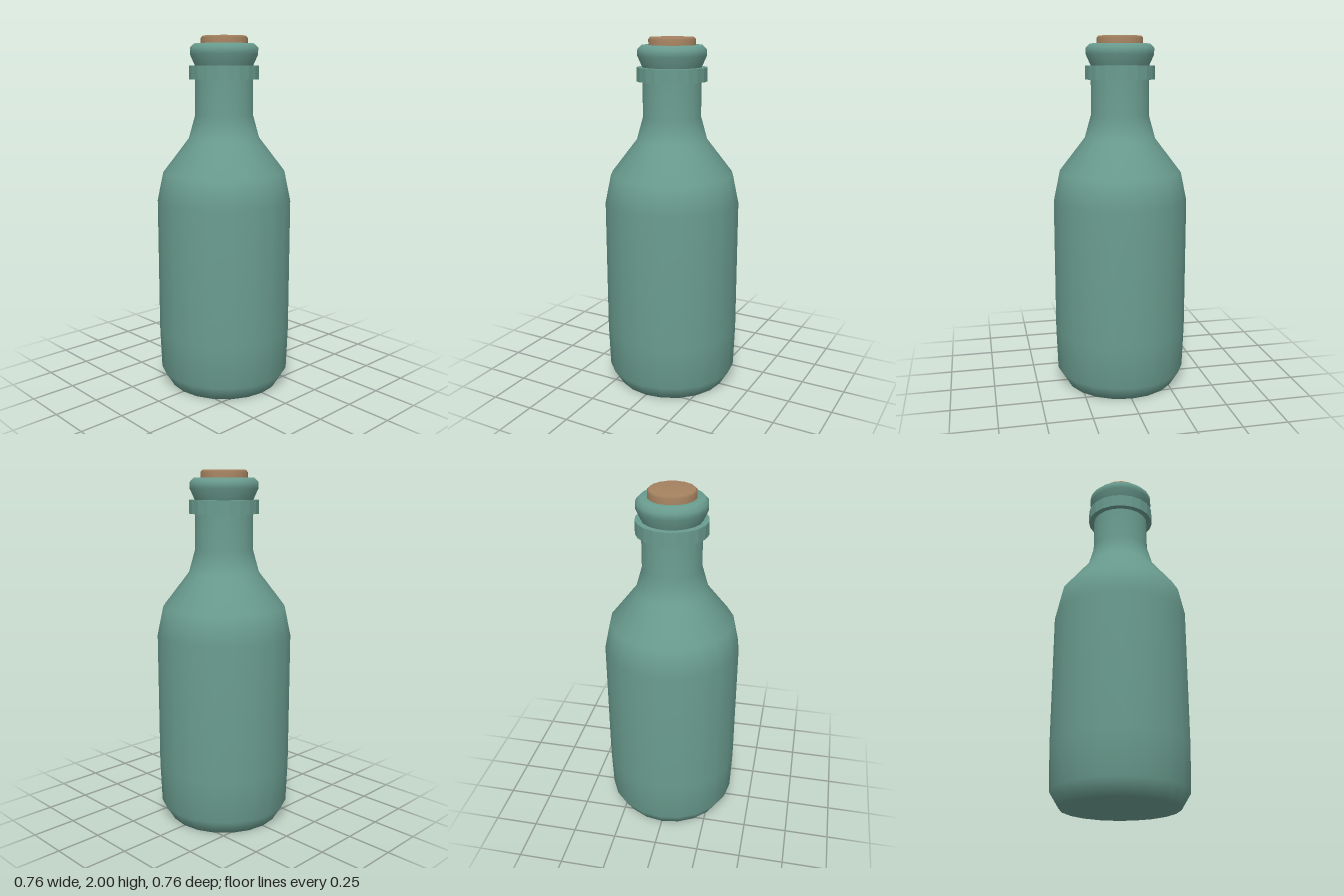
import * as THREE from 'three';

const glass = new THREE.MeshStandardMaterial({ color: 0x6a9c8f });
glass.name = 'greenGlass';
const corkTan = new THREE.MeshStandardMaterial({ color: 0xa58260 });
corkTan.name = 'corkTan';

// Surface of revolution from [radius, height] points, listed bottom to top
function turned(name, points, sides, material, faceted = false) {
  const profile = points.map(([r, y]) => new THREE.Vector2(r, y));
  let geometry = new THREE.LatheGeometry(profile, sides);
  if (faceted) {
    geometry = geometry.toNonIndexed();
    geometry.computeVertexNormals();
  }
  const mesh = new THREE.Mesh(geometry, material);
  mesh.name = name;
  return mesh;
}

export function createModel() {
  const bottle = new THREE.Group();
  bottle.name = 'bottle';

  // Base, straight wall, sloping shoulder and neck
  bottle.add(turned('body', [
    [0, 0], [0.32, 0], [0.372, 0.085], [0.381, 0.33], [0.381, 1.09],
    [0.347, 1.25], [0.2, 1.44], [0.163, 1.57], [0.163, 1.86],
  ], 20, glass));

  // Crisp band around the neck
  bottle.add(turned('neckRing', [
    [0.16, 1.765], [0.195, 1.765], [0.195, 1.84], [0.16, 1.84],
  ], 20, glass, true));

  // Rounded mouth
  bottle.add(turned('lip', [
    [0.163, 1.84], [0.19, 1.9], [0.19, 1.935], [0.168, 1.958], [0.12, 1.958],
  ], 20, glass));

  // Stopper with a softened top edge
  bottle.add(turned('cork', [
    [0.13, 1.93], [0.13, 1.988], [0.12, 2], [0, 2],
  ], 16, corkTan));

  return bottle;
}
